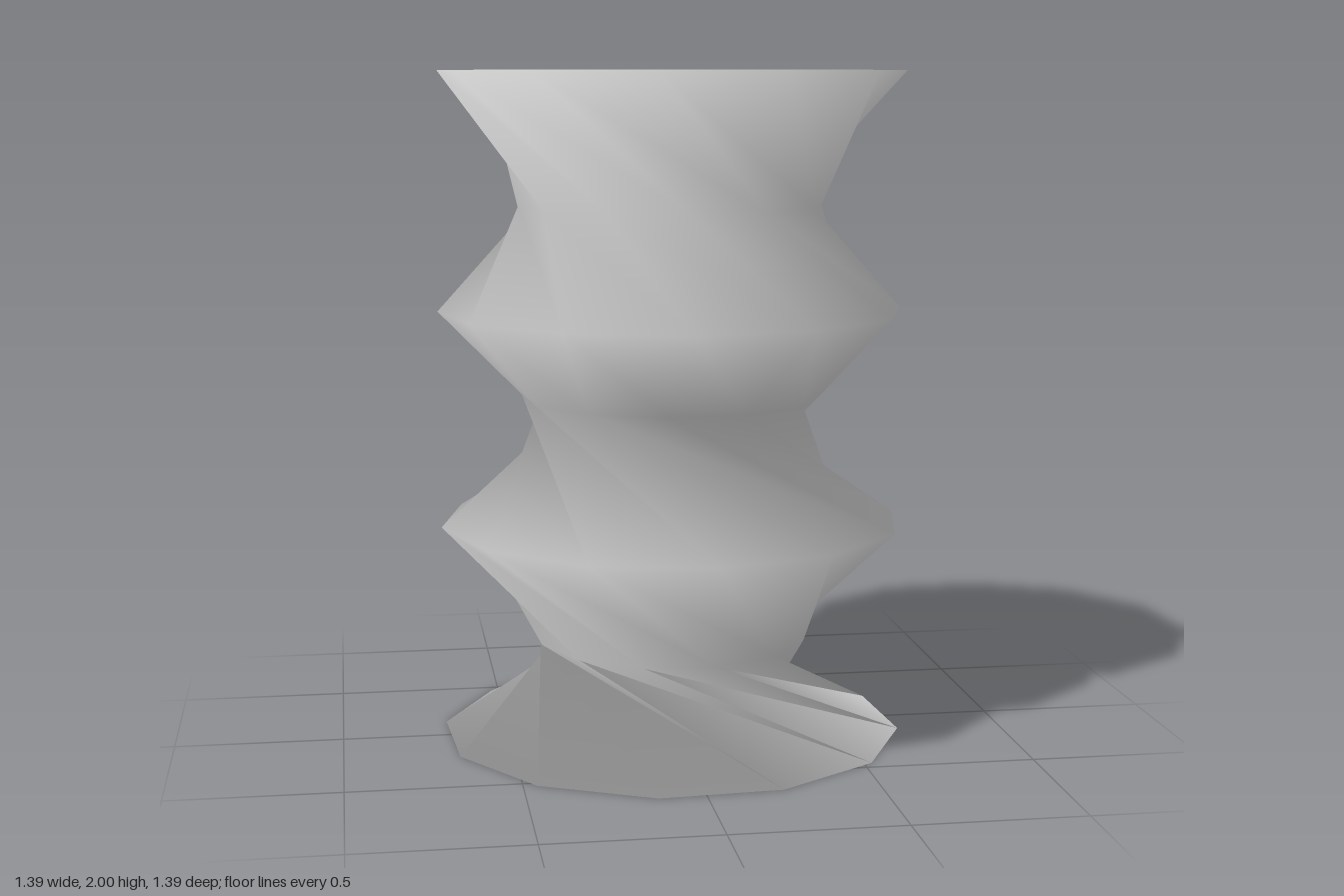
import * as THREE from 'three';

const SIDES = 12;
const STEP = (Math.PI * 2) / SIDES;

// Rings of the twisted column: height, radius, turn in degrees (from +x towards +z)
const RINGS = [
  [0.00, 0.697, 11.3],
  [0.29, 0.41, 79.5],
  [0.65, 0.697, 117.5],
  [1.03, 0.45, 189.5],
  [1.29, 0.697, 183.5],
  [1.60, 0.456, 211.7],
  [2.00, 0.697, 251.3],
];

function twistedColumn() {
  const positions = [];
  const index = [];
  const at = (ring, i) => ring * SIDES + (i % SIDES);

  for (const [y, radius, turn] of RINGS) {
    for (let i = 0; i < SIDES; i++) {
      const a = THREE.MathUtils.degToRad(turn) + i * STEP;
      positions.push(radius * Math.cos(a), y, radius * Math.sin(a));
    }
  }

  // Folded walls: each twisted quad is split along its valley
  for (let r = 0; r < RINGS.length - 1; r++) {
    for (let i = 0; i < SIDES; i++) {
      index.push(at(r, i + 1), at(r, i), at(r + 1, i + 1));
      index.push(at(r, i), at(r + 1, i), at(r + 1, i + 1));
    }
  }

  // End caps, sharing the rim so the shading stays smooth
  const last = RINGS.length - 1;
  const bottom = positions.length / 3;
  const top = bottom + 1;
  positions.push(0, RINGS[0][0], 0, 0, RINGS[last][0], 0);
  for (let i = 0; i < SIDES; i++) {
    index.push(bottom, at(0, i), at(0, i + 1));
    index.push(top, at(last, i + 1), at(last, i));
  }

  const geometry = new THREE.BufferGeometry();
  geometry.setAttribute('position', new THREE.Float32BufferAttribute(positions, 3));
  geometry.setIndex(index);
  geometry.computeVertexNormals();
  return geometry;
}

export function createModel() {
  const group = new THREE.Group();
  group.name = 'twistedStool';
  const material = new THREE.MeshStandardMaterial({ color: 0xcccccc });
  const column = new THREE.Mesh(twistedColumn(), material);
  column.name = 'foldedColumn';
  group.add(column);
  return group;
}
